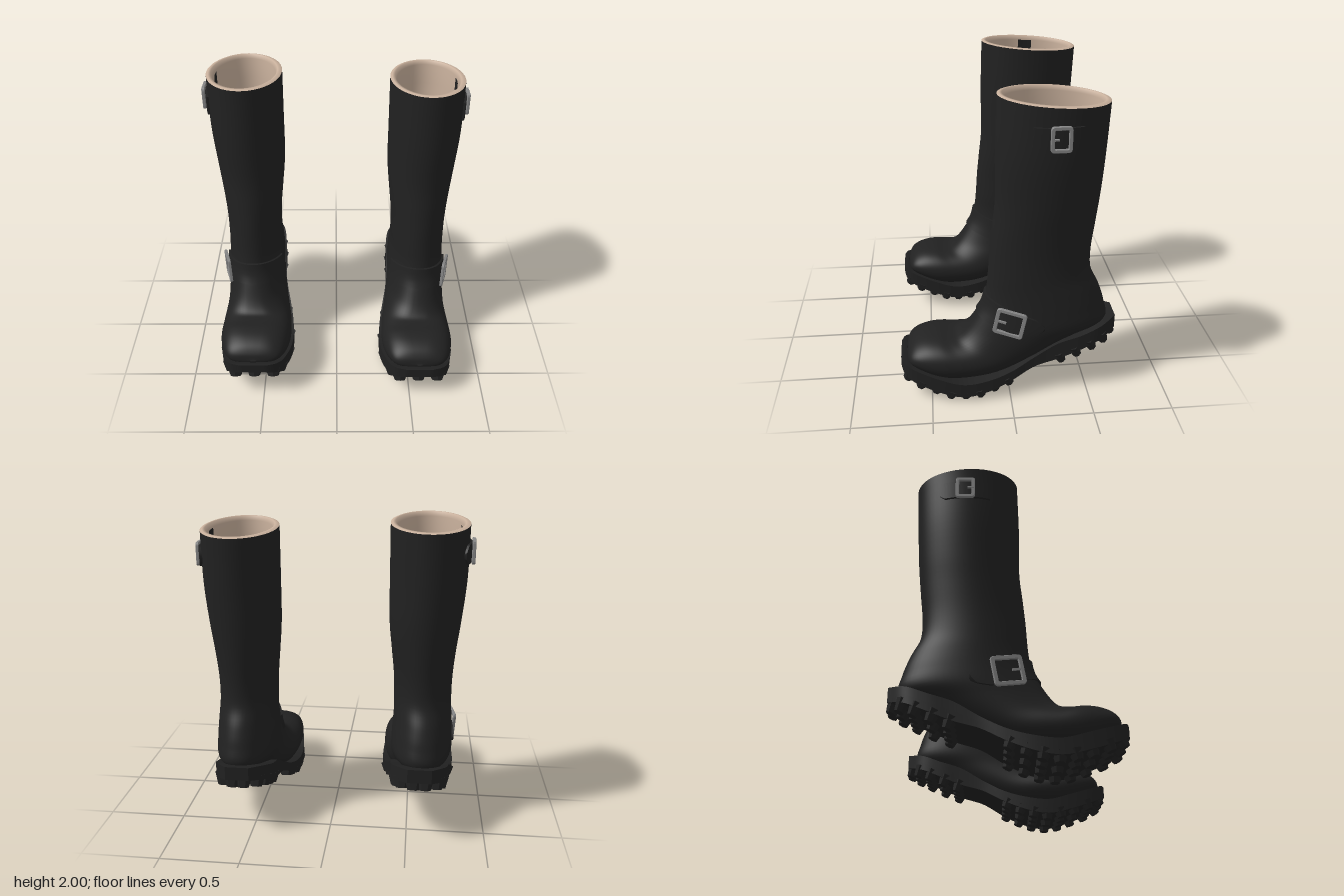
import * as THREE from 'three';
import { mergeVertices, mergeGeometries, toCreasedNormals } from 'three/addons/utils/BufferGeometryUtils.js';

const V = (x, y, z = 0) => new THREE.Vector3(x, y, z);
const curve = (pts) => new THREE.CatmullRomCurve3(pts, false, 'catmullrom', 0.5);

// Upper: each ring runs from a front point to a back point, from shaft top round to the toe.
// front z, front y, back z, back y, centre x, half width, roundness
const RINGS = [
  [0.07, 1.95, -0.585, 1.905, 0.585, 0.24, 1],
  [0.08, 1.6, -0.57, 1.6, 0.585, 0.238, 1],
  [0.08, 1.3, -0.555, 1.35, 0.575, 0.225, 1],
  [0.1, 1.1, -0.535, 1.15, 0.573, 0.205, 1],
  [0.115, 0.95, -0.515, 0.96, 0.575, 0.19, 1],
  [0.125, 0.8, -0.52, 0.82, 0.577, 0.186, 0.95],
  [0.135, 0.7, -0.575, 0.7, 0.58, 0.188, 0.95],
  [0.155, 0.6, -0.615, 0.58, 0.58, 0.195, 0.9],
  [0.2, 0.52, -0.625, 0.46, 0.58, 0.2, 0.85],
  [0.265, 0.42, -0.45, 0.38, 0.575, 0.2, 0.75],
  [0.32, 0.37, -0.2, 0.24, 0.565, 0.212, 0.65],
  [0.38, 0.365, 0.05, 0.13, 0.56, 0.235, 0.65],
  [0.45, 0.373, 0.3, 0.1, 0.56, 0.242, 0.65],
  [0.53, 0.365, 0.45, 0.12, 0.56, 0.228, 0.65],
  [0.595, 0.34, 0.58, 0.18, 0.56, 0.195, 0.7],
  [0.637, 0.3, 0.64, 0.22, 0.56, 0.14, 0.7],
  [0.652, 0.265, 0.655, 0.25, 0.56, 0.02, 1],
];
const frontLine = curve(RINGS.map((r) => V(0, r[1], r[0])));
const backLine = curve(RINGS.map((r) => V(0, r[3], r[2])));
const widths = curve(RINGS.map((r) => V(r[4], r[5], r[6])));

// Point on the upper; angle 0 is the front, a quarter turn is the outer side
function skin(t, angle, offset = 0) {
  const f = frontLine.getPoint(t), b = backLine.getPoint(t), w = widths.getPoint(t);
  const dir = f.clone().sub(b).normalize().multiplyScalar(offset);
  f.add(dir);
  b.sub(dir);
  const s = Math.sin(angle);
  const p = f.lerp(b, (1 - Math.cos(angle)) / 2);
  p.x = w.x + (w.y + offset) * Math.sign(s) * Math.abs(s) ** w.z;
  return p;
}

// Ring parameter where the upper crosses the sloping plane y = a + b z
function crossing(angle, [a, b], lo, hi) {
  for (let i = 0; i < 24; i++) {
    const m = (lo + hi) / 2, p = skin(m, angle);
    if (p.y > a + b * p.z) lo = m; else hi = m;
  }
  return lo;
}

// Surface from a rule f(u, v): rows run down, columns run across
function grid(f, nu, nv) {
  const pos = [], index = [];
  for (let i = 0; i <= nu; i++) for (let j = 0; j <= nv; j++) pos.push(...f(i / nu, j / nv).toArray());
  for (let i = 0; i < nu; i++) for (let j = 0; j < nv; j++) {
    const a = i * (nv + 1) + j, c = a + nv + 1;
    index.push(a, c, a + 1, a + 1, c, c + 1);
  }
  let g = new THREE.BufferGeometry();
  g.setAttribute('position', new THREE.Float32BufferAttribute(pos, 3));
  g.setIndex(index);
  g = mergeVertices(g, 1e-5);
  g.computeVertexNormals();
  return g;
}

// Leather strap lying on the upper between two planes, with a pointed end
function strap(top, bottom, from, to, lo, hi, tip) {
  const g = grid((u, v) => {
    const angle = from + (to - from) * v;
    const k = Math.min(1, ((1 - v) / tip) ** 0.6 + 0.02);
    const t0 = crossing(angle, top, lo, hi), t1 = crossing(angle, bottom, lo, hi);
    const mid = (t0 + t1) / 2, half = ((t1 - t0) / 2) * k;
    const row = Math.round(u * 6);
    const edge = row === 0 || row === 6 || v === 0 || v === 1;
    const along = Math.min(1, Math.max(0, (row - 1) / 4)) * 2 - 1;
    return skin(mid + half * along, angle, edge ? -0.006 : 0.014);
  }, 6, 48);
  return toCreasedNormals(g, 0.7);
}

// Square metal frame with a prong, set on the upper
function buckle(w, h, bar, t, angle, tilt) {
  const rect = (target, x, y, r) => {
    target.moveTo(-x + r, -y).lineTo(x - r, -y).quadraticCurveTo(x, -y, x, -y + r).lineTo(x, y - r)
      .quadraticCurveTo(x, y, x - r, y).lineTo(-x + r, y).quadraticCurveTo(-x, y, -x, y - r)
      .lineTo(-x, -y + r).quadraticCurveTo(-x, -y, -x + r, -y);
    return target;
  };
  const shape = rect(new THREE.Shape(), w / 2, h / 2, 0.02);
  shape.holes.push(rect(new THREE.Path(), w / 2 - bar, h / 2 - bar, 0.01));
  const frame = new THREE.ExtrudeGeometry(shape, { depth: 0.014, bevelSize: 0.003, bevelThickness: 0.003, bevelSegments: 1, curveSegments: 4 });
  const prong = new THREE.BoxGeometry(w * 0.36, bar * 0.7, 0.012).translate(-w * 0.3, 0, 0.012).toNonIndexed();
  const g = mergeGeometries([frame, prong]);
  const p = skin(t, angle, 0.018);
  const out = skin(t, angle + 0.05).sub(skin(t, angle - 0.05)).setY(0);
  const holder = new THREE.Object3D();
  holder.position.copy(p);
  holder.lookAt(p.x - out.z, p.y, p.z + out.x);
  holder.rotateZ(tilt);
  holder.updateMatrix();
  return g.applyMatrix4(holder.matrix);
}

// Sole stations from toe to heel: z, half width, bottom, top
const SOLE = [
  [0.69, 0.09, 0.18, 0.25], [0.665, 0.155, 0.16, 0.245], [0.6, 0.2, 0.125, 0.22], [0.45, 0.24, 0.07, 0.17],
  [0.3, 0.254, 0.035, 0.13], [0.15, 0.248, 0.06, 0.145], [0, 0.225, 0.12, 0.19], [-0.15, 0.195, 0.2, 0.27],
  [-0.3, 0.186, 0.245, 0.36], [-0.45, 0.184, 0.305, 0.41], [-0.58, 0.16, 0.36, 0.46], [-0.685, 0.075, 0.395, 0.485],
];
const soleBase = curve(SOLE.map((s) => V(s[1], s[2], s[0])));
const soleTop = curve(SOLE.map((s) => V(0, s[3], s[0])));
const soleX = (t) => 0.557 + 0.015 * t;

function soleGeometry() {
  const g = new THREE.BoxGeometry(2, 1, 1, 8, 2, 60), p = g.attributes.position;
  for (let i = 0; i < p.count; i++) {
    const t = 0.5 - p.getZ(i), b = soleBase.getPoint(t);
    const y = THREE.MathUtils.lerp(b.y, soleTop.getPoint(t).y, p.getY(i) + 0.5);
    p.setXYZ(i, soleX(t) + b.x * p.getX(i), y, b.z);
  }
  return toCreasedNormals(g, 0.7);
}

// Chunky tread blocks in staggered rows under the forefoot and heel
function lugGeometry() {
  const lugs = [];
  const add = (station, columns, depth) => {
    const t = station / (SOLE.length - 1), b = soleBase.getPoint(t), d = soleBase.getTangent(t);
    for (const u of columns) {
      const g = new THREE.CylinderGeometry(0.062, 0.04, depth, 7).scale(0.95, 1, 0.72);
      g.rotateX(Math.atan2(d.y, -d.z));
      lugs.push(g.translate(soleX(t) + u * (b.x - 0.045), b.y + 0.028 - depth / 2, b.z));
    }
  };
  [1.5, 2.3, 2.9, 3.5, 4.1, 4.7, 5.3, 5.9].forEach((s, i) => add(s, i % 2 ? [-1, -0.33, 0.33, 1] : [-0.95, 0, 0.95], 0.06));
  [8.15, 8.8, 9.5, 10.15].forEach((s, i) => add(s, i % 2 ? [-1, 0, 1] : [-1, -0.33, 0.33, 1], 0.075));
  add(10.7, [-0.6, 0.6], 0.075);
  return toCreasedNormals(mergeGeometries(lugs), 0.5);
}

function mirrored(geometry) {
  const g = (geometry.index ? geometry.toNonIndexed() : geometry.clone()).scale(-1, 1, 1);
  for (const a of Object.values(g.attributes)) {
    for (let i = 0; i < a.count; i += 3) for (let k = 0; k < a.itemSize; k++) {
      const held = a.getComponent(i + 1, k);
      a.setComponent(i + 1, k, a.getComponent(i + 2, k));
      a.setComponent(i + 2, k, held);
    }
  }
  return g;
}

export function createModel() {
  const material = (name, color, side = THREE.FrontSide) => {
    const m = new THREE.MeshStandardMaterial({ color, side });
    m.name = name;
    return m;
  };
  const leather = material('black leather', 0x212121, THREE.DoubleSide);
  const lining = material('beige lining', 0xc8b09c);
  const metal = material('grey metal', 0x858585);

  // Lining profile from inside the shaft up and over the rim: ring parameter, offset
  const rim = [[0.075, -0.036], [0.03, -0.04], [0.004, -0.042], [-1, -0.03], [-1, -0.014], [0, 0]];
  const ankle = [[0.62, 0.37], [0.475, 0.33]];
  const ankleT = crossing(0.99, [0.545, 0.35], 0.25, 0.75);
  const topT = crossing(1.6, [1.76, 0], 0, 0.2);
  const parts = [
    ['upper', leather, grid((u, v) => skin(u, v * Math.PI * 2), 80, 56)],
    ['lining', lining, grid((u, v) => {
      const [t, o] = rim[Math.round(u * 5)];
      const p = skin(Math.max(t, 0), v * Math.PI * 2, o);
      if (t < 0) p.y += 0.006;
      return p;
    }, 5, 56)],
    ['pullTab', leather, grid((u, v) => skin(0.004 + u * 0.07, 1.4 + v * 0.35, -0.052), 4, 6)],
    ['sole', leather, soleGeometry()],
    ['treadLugs', leather, lugGeometry()],
    ['ankleStrap', leather, strap(ankle[0], ankle[1], -1.2, 1.6, 0.25, 0.75, 0.08)],
    ['topStrap', leather, strap([1.82, 0], [1.7, 0], 1.12, 2.16, 0, 0.2, 0.16)],
    ['ankleBuckle', metal, buckle(0.185, 0.175, 0.018, ankleT, 0.99, -0.2)],
    ['topBuckle', metal, buckle(0.115, 0.145, 0.015, topT, 1.6, 0)],
  ];

  const model = new THREE.Group();
  model.name = 'bootPair';
  for (const side of ['left', 'right']) {
    const boot = new THREE.Group();
    boot.name = side + 'Boot';
    if (side === 'right') boot.position.y = 0.045;
    for (const [name, mat, geometry] of parts) {
      const mesh = new THREE.Mesh(side === 'left' ? geometry : mirrored(geometry), mat);
      mesh.name = name;
      boot.add(mesh);
    }
    model.add(boot);
  }
  return model;
}
